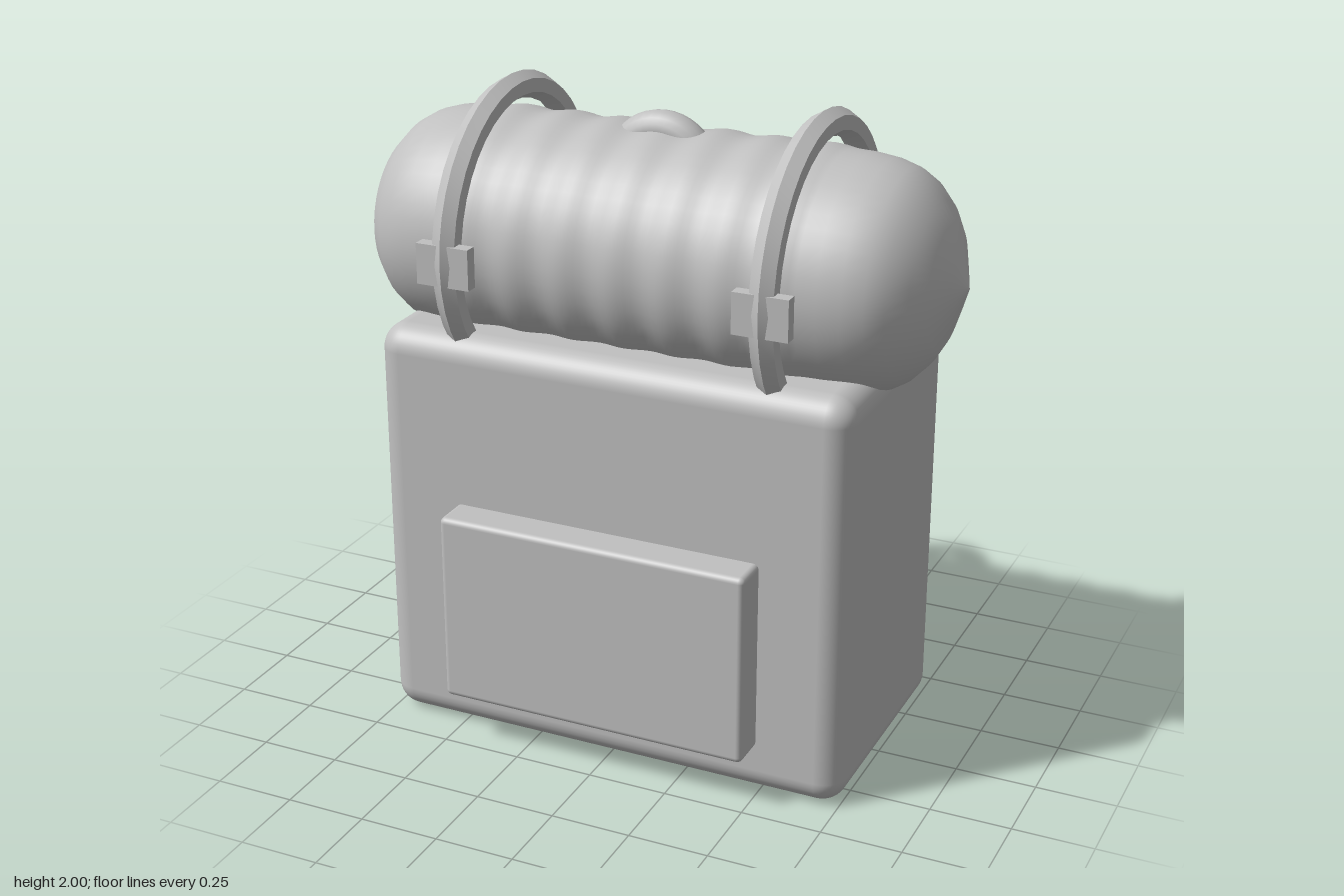
import * as THREE from 'three';
import { toCreasedNormals } from 'three/addons/utils/BufferGeometryUtils.js';
import { RoundedBoxGeometry } from 'three/addons/geometries/RoundedBoxGeometry.js';

const ROLL_Y = 1.535, ROLL_Z = -0.033, STRAP_X = 0.497;

export function createModel() {
  const model = new THREE.Group();
  const grey = new THREE.MeshStandardMaterial({ color: 0xc0c0c0 });
  grey.name = 'plain grey';

  function add(name, geometry, x, y, z) {
    const mesh = new THREE.Mesh(geometry, grey);
    mesh.name = name;
    mesh.position.set(x, y, z);
    model.add(mesh);
    return mesh;
  }

  // Pack body and front pocket
  add('packBody', new RoundedBoxGeometry(1.52, 1.3, 0.835, 5, 0.08), 0, 0.65, -0.03);
  add('frontPocket', new RoundedBoxGeometry(0.99, 0.605, 0.2, 3, 0.018), 0, 0.4625, 0.4);

  // Bedroll: gently rippled cylinder with domed, pointed ends
  const cap = [[0.95, 0], [0.92, 0.085], [0.885, 0.18], [0.85, 0.24], [0.8, 0.293], [0.75, 0.323], [0.69, 0.341], [0.62, 0.35]];
  const profile = cap.map(([x, r]) => new THREE.Vector2(r, -x));
  for (let i = 0; i <= 56; i++) {
    const x = -0.56 + i * 0.02;
    profile.push(new THREE.Vector2(0.356 + 0.005 * Math.cos((x * Math.PI * 2) / 0.165), x));
  }
  for (const [x, r] of [...cap].reverse()) profile.push(new THREE.Vector2(r, x));
  const roll = new THREE.LatheGeometry(profile, 48);
  roll.rotateZ(Math.PI / 2);
  roll.scale(1, 1, 1.02);
  add('bedroll', roll, 0, ROLL_Y, ROLL_Z);

  // Hexagonal strap rings, each with a front buckle
  const ring = toCreasedNormals(new THREE.TorusGeometry(0.425, 0.0425, 6, 40).rotateY(Math.PI / 2), 0.5);
  for (const side of [-1, 1]) {
    add(side > 0 ? 'leftStrap' : 'rightStrap', ring, side * STRAP_X, 1.5325, ROLL_Z);
    add(side > 0 ? 'leftBuckle' : 'rightBuckle', new THREE.BoxGeometry(0.17, 0.125, 0.04), side * STRAP_X, 1.532, 0.4);
  }

  // Carry handle, a thick ring half sunk into the roll
  add('carryHandle', new THREE.TorusGeometry(0.128, 0.052, 16, 40), 0, 1.765, ROLL_Z);

  return model;
}
